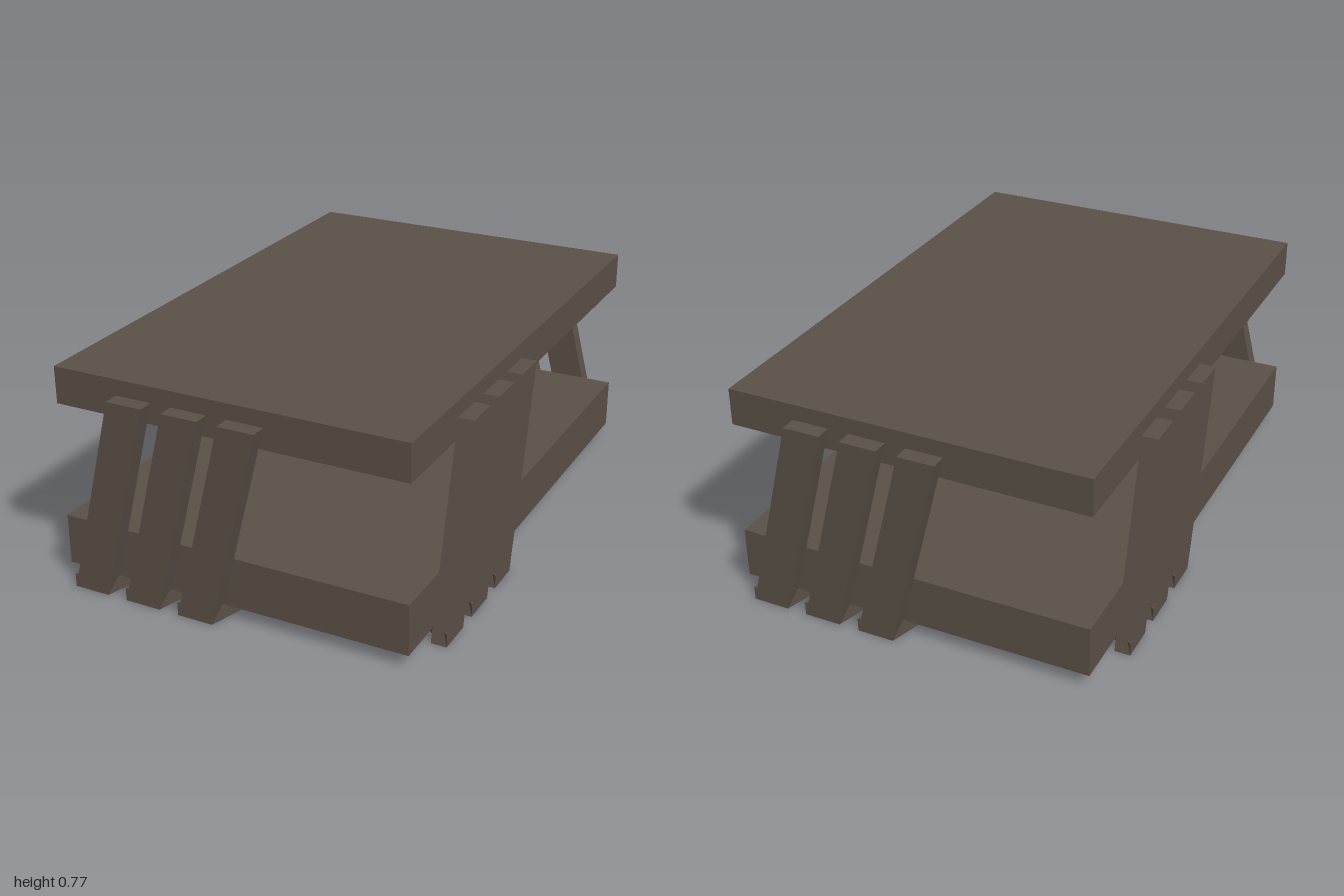
import * as THREE from 'three';

const SLAT_W = 0.13, SLAT_T = 0.055, SLAT_H = 0.714;
const STRAP_H = 0.048;
const HALF_X = 0.632, HALF_Z = 0.945;

// Parallelogram running from (u0, v0) to (u1, v1), extruded by depth
function slanted(u0, v0, u1, v1, depth) {
  const h = SLAT_W / 2;
  const shape = new THREE.Shape([
    new THREE.Vector2(u0 - h, v0), new THREE.Vector2(u0 + h, v0),
    new THREE.Vector2(u1 + h, v1), new THREE.Vector2(u1 - h, v1),
  ]);
  return new THREE.ExtrudeGeometry(shape, { depth, bevelEnabled: false });
}

export function createModel() {
  const wood = new THREE.MeshStandardMaterial({ color: 0x5a5047 });
  wood.name = 'darkWood';
  const model = new THREE.Group();
  model.name = 'slattedTable';

  const add = (parent, name, geometry) => {
    const mesh = new THREE.Mesh(geometry, wood);
    mesh.name = name;
    parent.add(mesh);
    return mesh;
  };

  // Table top and lower shelf
  const slab = (name, y0, y1) => {
    add(model, name, new THREE.BoxGeometry(HALF_X * 2, y1 - y0, HALF_Z * 2))
      .position.y = (y0 + y1) / 2;
  };
  slab('tableTop', 0.64, 0.77);
  slab('lowerShelf', 0.05, 0.23);

  // Three leaning slats on each side; starts are the foot centres along the face
  const slatRow = (name, starts, lean, offset, angle) => {
    const row = new THREE.Group();
    row.name = name;
    row.rotation.y = angle;
    for (const u of starts) {
      add(row, 'leaningSlat', slanted(u, 0, u + lean, SLAT_H, SLAT_T)).position.z = offset;
    }
    model.add(row);
  };
  const endFeet = [-0.51, -0.307, -0.105];
  const rightFeet = [-0.715, -0.515, -0.315];
  const leftFeet = [-0.675, -0.475, -0.275];
  slatRow('frontSlats', endFeet, 0.18, HALF_Z, 0);
  slatRow('backSlats', endFeet, 0.18, HALF_Z, Math.PI);
  slatRow('leftSideSlats', rightFeet, 0.17, HALF_X, Math.PI / 2);
  slatRow('rightSideSlats', leftFeet, 0.17, HALF_X, -Math.PI / 2);

  // Diagonal straps under the shelf, joining the feet of opposite slats
  const strapRow = (name, starts, shift, half, angle) => {
    const row = new THREE.Group();
    row.name = name;
    row.rotation.y = angle;
    for (const u of starts) {
      add(row, 'floorStrap',
        slanted(u, -half, u + shift, half, STRAP_H).rotateX(-Math.PI / 2));
    }
    model.add(row);
  };
  strapRow('lengthwiseStraps', endFeet, 0.615, HALF_Z + SLAT_T, 0);
  strapRow('crosswiseStraps', rightFeet, 0.99, HALF_X + SLAT_T, Math.PI / 2);

  return model;
}
